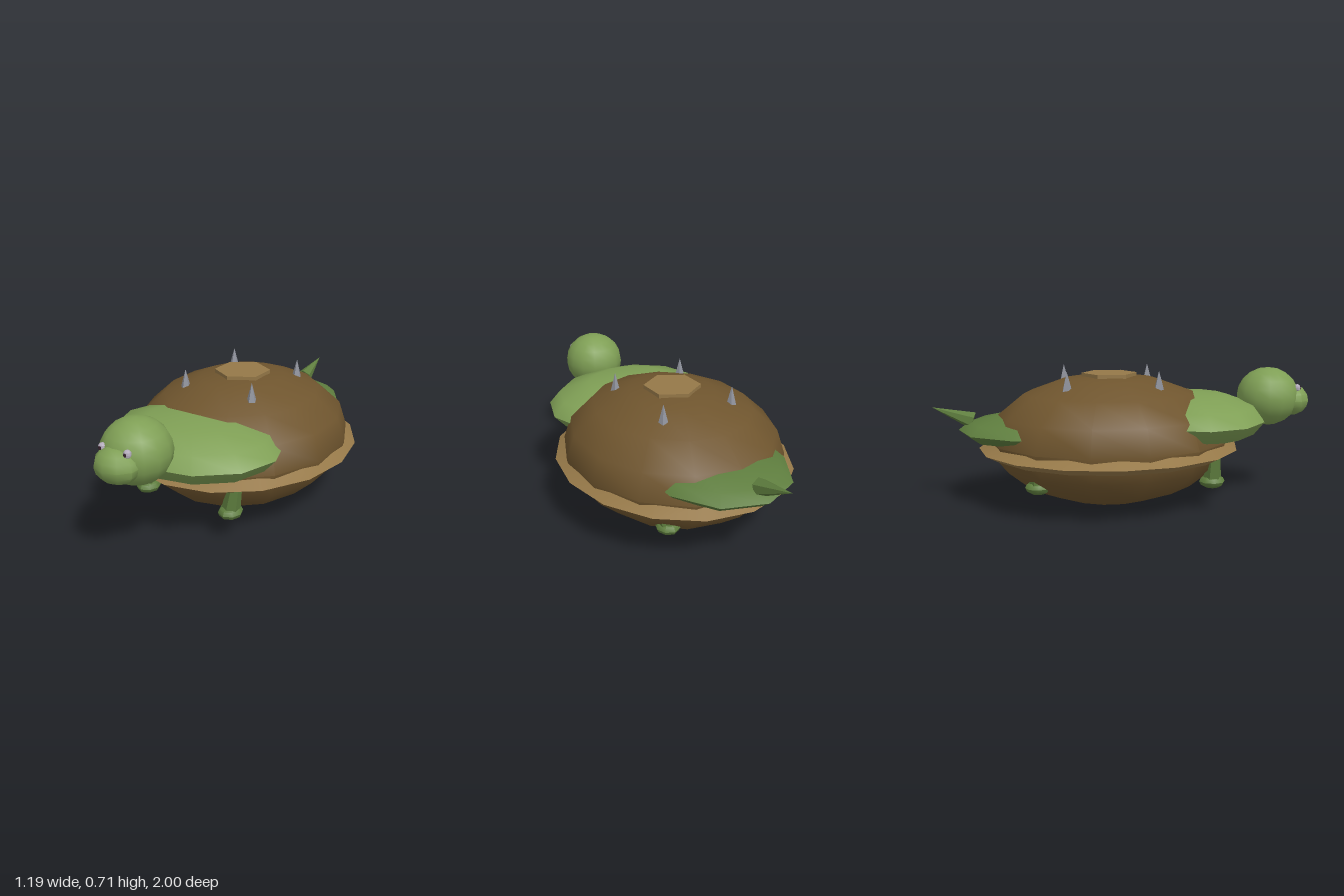
import * as THREE from 'three';
import { toCreasedNormals } from 'three/addons/utils/BufferGeometryUtils.js';

const CREASE = 0.75;

function material(name, color) {
  const m = new THREE.MeshStandardMaterial({ color });
  m.name = name;
  return m;
}

export function createModel() {
  const root = new THREE.Group();
  root.name = 'turtle';

  const shellBrown = material('shell brown', 0x6f552e);
  const rimTan = material('rim tan', 0x957848);
  const skinGreen = material('light green skin', 0x7f9f55);
  const darkGreen = material('dark green skin', 0x5e7d3e);
  const spikeGrey = material('spike grey', 0x8e919b);
  const eyeWhite = material('eye pale', 0xb4acbc);
  const pupilDark = material('pupil dark', 0x33202a);

  function add(name, geometry, mat, position, parent = root) {
    const mesh = new THREE.Mesh(toCreasedNormals(geometry, CREASE), mat);
    mesh.name = name;
    mesh.position.set(...position);
    parent.add(mesh);
    return mesh;
  }

  // Ellipsoid with a vertical pole axis and a corner pointing along z
  function ellipsoid(rx, ry, rz, sides, rings) {
    return new THREE.SphereGeometry(1, sides, rings).rotateY(Math.PI / 2).scale(rx, ry, rz);
  }

  // Tapered limb between two points
  function limb(name, from, to, rTop, rBottom, sides, mat, parent = root) {
    const a = new THREE.Vector3(...from);
    const b = new THREE.Vector3(...to);
    const dir = b.clone().sub(a);
    const geo = new THREE.CylinderGeometry(rTop, rBottom, dir.length(), sides);
    const mesh = add(name, geo, mat, a.clone().add(b).multiplyScalar(0.5).toArray(), parent);
    mesh.quaternion.setFromUnitVectors(new THREE.Vector3(0, 1, 0), dir.normalize());
    return mesh;
  }

  // Shell, rim and top plate
  add('shell', ellipsoid(0.554, 0.34, 0.63, 14, 8), shellBrown, [0, 0.345, -0.085]);
  const rim = new THREE.TorusGeometry(0.535, 0.06, 4, 16).rotateX(Math.PI / 2).scale(1, 0.6, 1.15);
  add('shellRim', rim, rimTan, [0, 0.302, -0.085]);
  add('topPlate', new THREE.CylinderGeometry(0.145, 0.145, 0.022, 6), rimTan, [0, 0.677, -0.085]);

  // Shoulders, haunches and tail
  add('shoulders', ellipsoid(0.462, 0.137, 0.385, 12, 6), skinGreen, [0, 0.447, 0.355]);
  add('haunches', ellipsoid(0.355, 0.088, 0.42, 10, 6), darkGreen, [0, 0.4, -0.45]);
  limb('tail', [0, 0.447, -0.795], [0, 0.52, -1], 0, 0.045, 6, darkGreen);

  // Head and snout
  add('head', ellipsoid(0.164, 0.156, 0.166, 14, 10), skinGreen, [0, 0.55, 0.775]);
  add('snout', ellipsoid(0.112, 0.086, 0.1, 10, 8), skinGreen, [0, 0.53, 0.9]);

  for (const side of [-1, 1]) {
    const label = side > 0 ? 'left' : 'right';

    // Eyes
    add(label + 'Eye', ellipsoid(0.019, 0.02, 0.019, 8, 6), eyeWhite, [side * 0.07, 0.6, 0.914]);
    add(label + 'Pupil', ellipsoid(0.009, 0.01, 0.009, 6, 4), pupilDark, [side * 0.07, 0.6, 0.928]);

    // Shell spikes
    for (const z of [0.145, -0.315]) {
      add(label + 'Spike', new THREE.ConeGeometry(0.027, 0.1, 5), spikeGrey, [side * 0.2, 0.665, z]);
    }

    // Legs with rounded feet
    for (const [name, z, x] of [['Front', 0.415, 0.253], ['Rear', -0.465, 0.272]]) {
      const leg = new THREE.Group();
      leg.name = label + name + 'Leg';
      root.add(leg);
      limb('shin', [side * x, 0.15, z], [side * (x + 0.025), 0.29, z], 0.035, 0.048, 6, darkGreen, leg);
      add('foot', ellipsoid(0.06, 0.036, 0.066, 8, 6), darkGreen, [side * x, 0.152, z], leg);
    }
  }

  return root;
}
